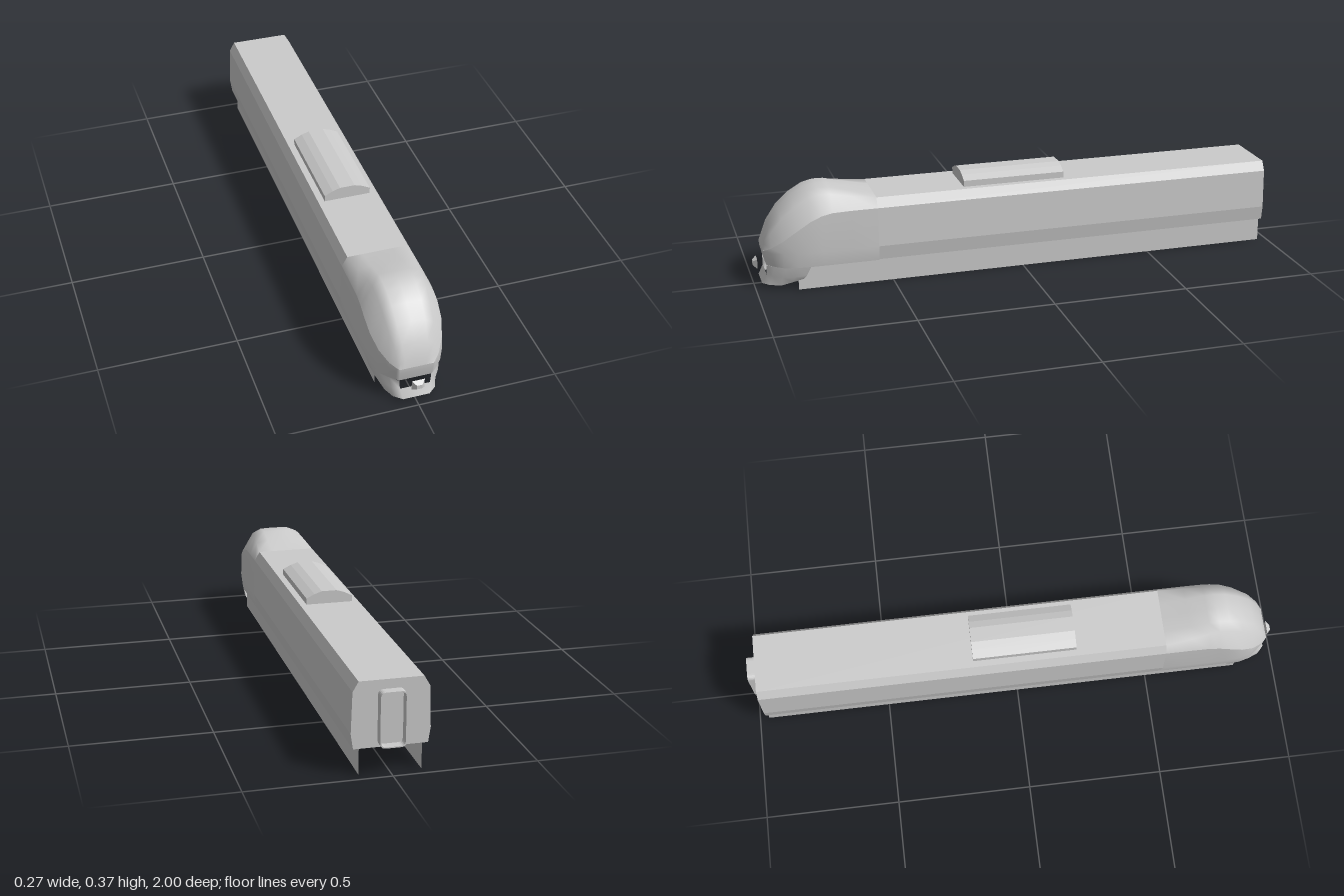
import * as THREE from 'three';

const grey = new THREE.MeshStandardMaterial({ color: 0xcccccc });
const greyDouble = new THREE.MeshStandardMaterial({ color: 0xcccccc, side: THREE.DoubleSide });

// Skin over a grid of [x, y, z] points; skip(section, point) leaves openings
function skin(sections, skip = () => false) {
  const n = sections[0].length, index = [];
  for (let s = 0; s < sections.length - 1; s++) {
    for (let i = 0; i < n - 1; i++) {
      if (skip(s, i)) continue;
      const a = s * n + i, b = a + 1, d = a + n, c = d + 1;
      index.push(a, b, c, a, c, d);
    }
  }
  const geo = new THREE.BufferGeometry();
  geo.setAttribute('position', new THREE.Float32BufferAttribute(sections.flat(2), 3));
  geo.setIndex(index);
  geo.computeVertexNormals();
  return geo;
}

const flip = ([x, y, z]) => [-x, y, z];
// Columns running from the left side round the front to the right side
const wrap = (cols) => [...cols, ...cols.slice().reverse().map((c) => c.map(flip))];

function polygon(points) {
  return new THREE.Shape(points.map(([x, y]) => new THREE.Vector2(x, y)));
}
const mirrored = (half) => [...half, ...half.slice().reverse().map(([x, y]) => [-x, y])];

function extrude(shape, z0, z1) {
  const geo = new THREE.ExtrudeGeometry(shape, { depth: z1 - z0, bevelEnabled: false, curveSegments: 6 });
  return geo.translate(0, 0, z0);
}

// Doorway outline with rounded corners
function roundedRect(Type, w, y0, y1, r) {
  const p = new Type();
  p.moveTo(-w + r, y0);
  p.lineTo(w - r, y0);
  p.quadraticCurveTo(w, y0, w, y0 + r);
  p.lineTo(w, y1 - r);
  p.quadraticCurveTo(w, y1, w - r, y1);
  p.lineTo(-w + r, y1);
  p.quadraticCurveTo(-w, y1, -w, y1 - r);
  p.lineTo(-w, y0 + r);
  p.quadraticCurveTo(-w, y0, -w + r, y0);
  return p;
}

export function createModel() {
  const group = new THREE.Group();
  const add = (name, geo, mat = grey) => {
    const mesh = new THREE.Mesh(geo, mat);
    mesh.name = name;
    group.add(mesh);
    return mesh;
  };

  // Long carriage body
  const bodyHalf = [[0.127, 0.097], [0.135, 0.15], [0.13, 0.295], [0.11, 0.33]];
  add('body', extrude(polygon(mirrored(bodyHalf)), -0.967, 0.555));

  // Nose sections: z, top y, inner roof [x, y], shoulder [x, y], crease [x, y], waist x, sill x
  const nose = [
    [0.555, 0.33, [0.055, 0.33], [0.11, 0.33], [0.13, 0.295], 0.135, 0.127],
    [0.65, 0.351, [0.055, 0.35], [0.102, 0.342], [0.13, 0.295], 0.135, 0.127],
    [0.72, 0.369, [0.055, 0.368], [0.093, 0.353], [0.13, 0.293], 0.135, 0.127],
    [0.76, 0.37, [0.055, 0.369], [0.09, 0.354], [0.131, 0.285], 0.135, 0.127],
    [0.80, 0.362, [0.054, 0.36], [0.088, 0.343], [0.132, 0.268], 0.134, 0.126],
    [0.85, 0.334, [0.052, 0.332], [0.085, 0.313], [0.128, 0.235], 0.130, 0.123],
    [0.90, 0.291, [0.050, 0.288], [0.08, 0.268], [0.113, 0.196], 0.116, 0.111],
    [0.94, 0.235, [0.045, 0.231], [0.068, 0.212], [0.088, 0.166], 0.091, 0.087],
    [0.96, 0.18, [0.04, 0.179], [0.055, 0.172], [0.068, 0.153], 0.069, 0.067],
    [0.967, 0.15, [0.03, 0.15], [0.045, 0.15], [0.06, 0.15], 0.059, 0.057],
  ];

  // Domed cab roof and windscreen
  add('cabDome', skin(nose.map(([z, top, a, b, c]) => {
    const half = [c, b, a].map(([x, y]) => [x, y, z]);
    return [...half, [0, top, z], ...half.slice().reverse().map(flip)];
  })));

  // Cab sides and blunt front below the crease
  const sill = nose.map(([z, , , , , , x]) => [x, 0.094, z > 0.9 ? z - 0.01 : z]);
  add('cabSides', skin(wrap(nose.map(([z, , , , c, waist], i) => [
    sill[i], [waist, Math.min(0.15, c[1] - 0.02), z - (z > 0.9 ? 0.002 : 0)], [c[0], c[1], z],
  ]))));

  // Cab floor
  const floor = new THREE.ShapeGeometry(polygon(mirrored(sill.map(([x, , z]) => [x, z]))));
  add('cabFloor', floor.rotateX(Math.PI / 2).translate(0, 0.095, 0));

  // Front valance with an opening for the coupler
  const valance = [
    [[0.110, 0.045, 0.83], [0.118, 0.06, 0.82], [0.126, 0.094, 0.805]],
    [[0.100, 0.032, 0.87], [0.114, 0.056, 0.865], [0.122, 0.094, 0.855]],
    [[0.092, 0.021, 0.91], [0.103, 0.055, 0.905], [0.109, 0.094, 0.895]],
    [[0.076, 0.021, 0.95], [0.08, 0.055, 0.94], [0.085, 0.094, 0.932]],
    [[0.048, 0.021, 0.975], [0.054, 0.055, 0.957], [0.057, 0.092, 0.957]],
  ];
  add('frontValance', skin(wrap(valance), (s, i) => s === valance.length - 1 && i === 1), greyDouble);

  // Coupler head: a square tapering block
  const coupler = new THREE.CylinderGeometry(0.01 * Math.SQRT2, 0.023 * Math.SQRT2, 0.015, 4, 1);
  coupler.rotateY(Math.PI / 4).rotateX(Math.PI / 2).scale(1, 0.8, 1);
  const couplerMesh = add('coupler', coupler.toNonIndexed());
  couplerMesh.geometry.computeVertexNormals();
  couplerMesh.position.set(0, 0.086, 0.9925);

  // Thin side skirts
  for (const side of [1, -1]) {
    const skirt = add(side > 0 ? 'leftSkirt' : 'rightSkirt',
      new THREE.PlaneGeometry(1.815, 0.095).rotateY(side * Math.PI / 2), greyDouble);
    skirt.position.set(side * 0.107, 0.0515, -0.0575);
  }

  // Curved roof pod
  const podHalf = [[0.086, 0.328], [0.086, 0.353], [0.056, 0.368], [0.028, 0.377]];
  add('roofPod', extrude(polygon(mirrored(podHalf)), -0.163, 0.222));

  // Hollow rear gangway frame
  const frame = roundedRect(THREE.Shape, 0.045, 0.103, 0.297, 0.02);
  frame.holes.push(roundedRect(THREE.Path, 0.041, 0.107, 0.293, 0.018));
  add('gangway', extrude(frame, -1, -0.966));

  return group;
}
